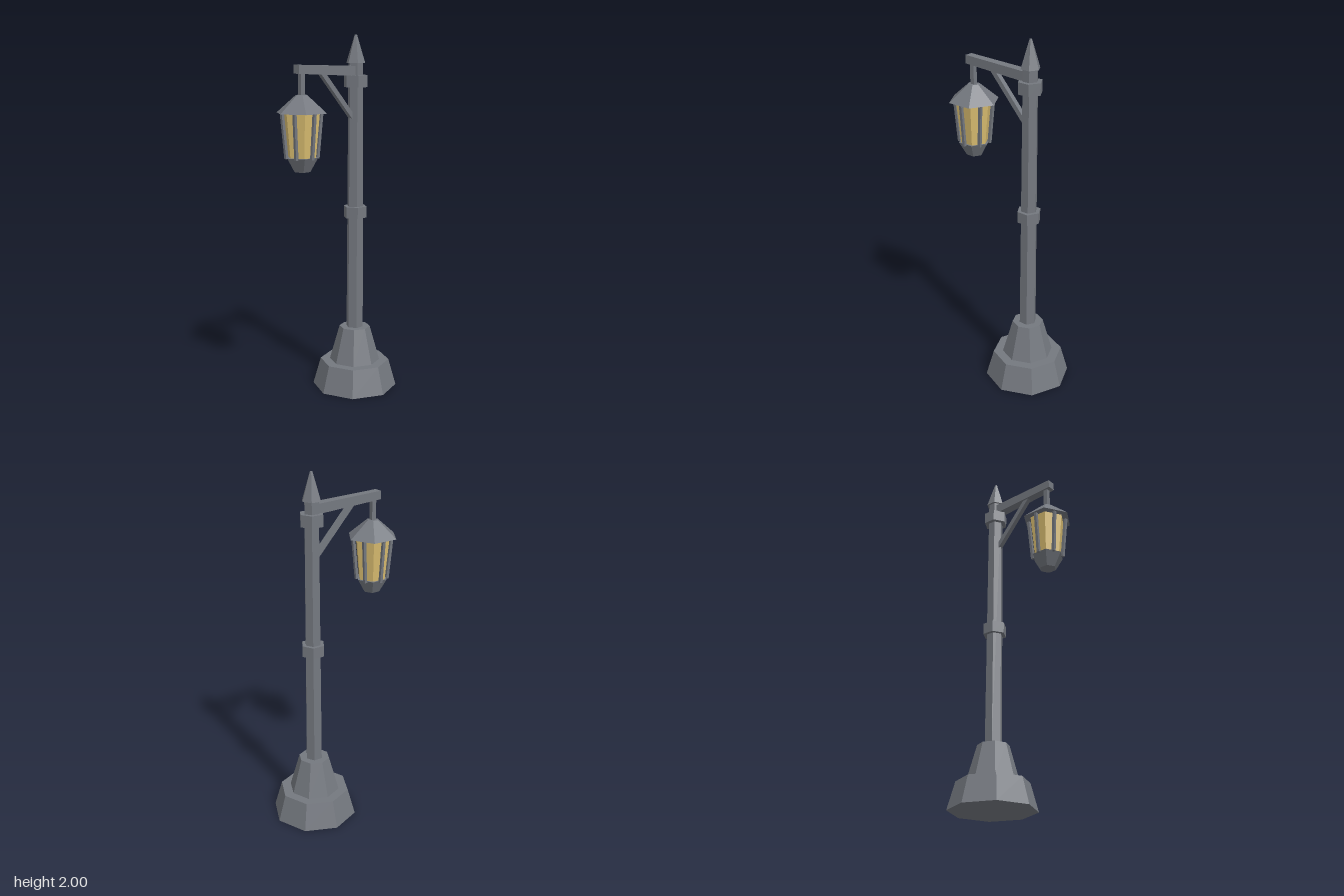
import * as THREE from 'three';

export function createModel() {
  const model = new THREE.Group();
  model.name = 'streetLamp';
  const iron = new THREE.MeshStandardMaterial({ color: 0x74787f });
  iron.name = 'grey iron';
  const amber = new THREE.MeshStandardMaterial({ color: 0xd8bc70 });
  amber.name = 'amber glass';
  iron.flatShading = amber.flatShading = true;

  const POLE_Z = -0.143, LAMP_Z = 0.24;

  function add(name, geometry, material = iron) {
    const mesh = new THREE.Mesh(geometry, material);
    mesh.name = name;
    model.add(mesh);
    return mesh;
  }

  // Upright tapered prism between two heights
  function prism(name, y0, r0, y1, r1, z, sides = 6, material = iron) {
    const mesh = add(name, new THREE.CylinderGeometry(r1, r0, y1 - y0, sides), material);
    mesh.position.set(0, (y0 + y1) / 2, z);
    return mesh;
  }

  // Square tapered bar running from a to b; w0 and w1 are the end widths
  function bar(name, a, b, w0, w1 = w0) {
    const from = new THREE.Vector3(...a), to = new THREE.Vector3(...b);
    const axis = to.clone().sub(from);
    const geometry = new THREE.CylinderGeometry(w1 * Math.SQRT1_2, w0 * Math.SQRT1_2, axis.length(), 4);
    geometry.rotateY(Math.PI / 4);
    const mesh = add(name, geometry);
    mesh.position.copy(from).add(to).multiplyScalar(0.5);
    mesh.quaternion.setFromUnitVectors(new THREE.Vector3(0, 1, 0), axis.normalize());
    return mesh;
  }

  // Stepped foot
  prism('lowerBase', 0, 0.24, 0.153, 0.197, POLE_Z, 8);
  prism('upperBase', 0.153, 0.143, 0.353, 0.087, POLE_Z, 8);

  // Pole with collars and pointed finial
  prism('pole', 0.353, 0.049, 1.855, 0.042, POLE_Z);
  prism('middleCollar', 0.995, 0.067, 1.058, 0.067, POLE_Z);
  prism('topCollar', 1.72, 0.067, 1.785, 0.067, POLE_Z);
  prism('finial', 1.85, 0.054, 2, 0.007, POLE_Z);

  // Arm, diagonal brace and hanger
  bar('arm', [0, 1.807, POLE_Z], [0, 1.826, 0.274], 0.054, 0.046);
  bar('brace', [0, 1.555, -0.118], [0, 1.805, 0.105], 0.027);
  bar('hanger', [0, 1.68, LAMP_Z], [0, 1.815, LAMP_Z], 0.025);

  // Lantern
  prism('lanternRoof', 1.6, 0.141, 1.693, 0.032, LAMP_Z);
  prism('lanternGlass', 1.365, 0.078, 1.602, 0.101, LAMP_Z, 6, amber);
  prism('lanternCup', 1.29, 0.046, 1.367, 0.09, LAMP_Z);
  for (let i = 0; i < 6; i++) {
    const t = Math.PI / 6 + (i * Math.PI) / 3;
    const at = (r, y) => [Math.sin(t) * r, y, LAMP_Z + Math.cos(t) * r];
    bar('lanternBar', at(0.083, 1.36), at(0.105, 1.605), 0.016);
  }

  return model;
}
